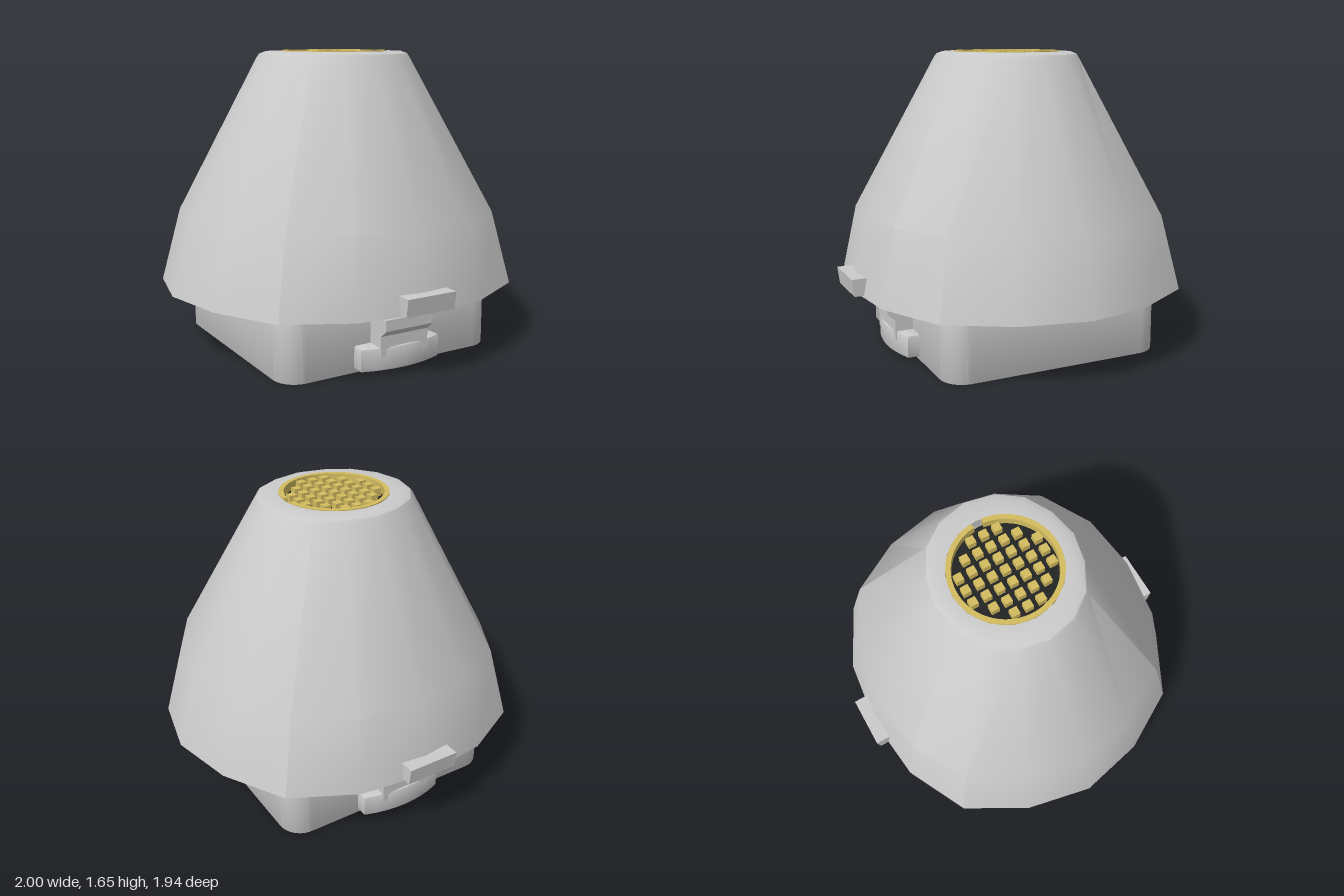
import * as THREE from 'three';
import { toCreasedNormals } from 'three/addons/utils/BufferGeometryUtils.js';

const grey = new THREE.MeshStandardMaterial({ color: 0xcccccc });
const gold = new THREE.MeshStandardMaterial({ color: 0xd4bd60 });
const dark = new THREE.MeshStandardMaterial({ color: 0x222424 });

function add(parent, name, geometry, material = grey) {
  const mesh = new THREE.Mesh(geometry, material);
  mesh.name = name;
  parent.add(mesh);
  return mesh;
}

// Mirror a quarter outline (from +x to +z) into a closed 16-point ring
function ring(y, quarter, s = 1) {
  const pts = [];
  for (let i = 0; i < 16; i++) {
    const k = i % 8 <= 4 ? i % 8 : 8 - (i % 8);
    const sx = i > 4 && i < 12 ? -1 : 1;
    const sz = i > 8 ? -1 : 1;
    pts.push([quarter[k][0] * s * sx, y, quarter[k][1] * s * sz]);
  }
  return pts;
}

function circle(y, r) {
  const q = [0, 1, 2, 3, 4].map(i => [r * Math.cos(i * Math.PI / 8), r * Math.sin(i * Math.PI / 8)]);
  return ring(y, q);
}

function loft(rings, crease) {
  const pos = [];
  for (let j = 0; j < rings.length - 1; j++) {
    for (let i = 0; i < 16; i++) {
      const n = (i + 1) % 16;
      const a = rings[j][i], b = rings[j][n], c = rings[j + 1][i], d = rings[j + 1][n];
      pos.push(...a, ...c, ...b, ...b, ...c, ...d);
    }
  }
  const g = new THREE.BufferGeometry();
  g.setAttribute('position', new THREE.Float32BufferAttribute(pos, 3));
  return toCreasedNormals(g, crease);
}

function roundedRect(hx, hy, r, Type = THREE.Shape) {
  const s = new Type();
  s.absarc(hx - r, hy - r, r, 0, Math.PI / 2);
  s.absarc(-hx + r, hy - r, r, Math.PI / 2, Math.PI);
  s.absarc(-hx + r, -hy + r, r, Math.PI, Math.PI * 1.5);
  s.absarc(hx - r, -hy + r, r, Math.PI * 1.5, Math.PI * 2);
  s.closePath();
  return s;
}

function roundHole(r) {
  const p = new THREE.Path();
  p.absarc(0, 0, r, 0, Math.PI * 2, true);
  return p;
}

// Extrude a plan outline upward from y0 to y1
function slab(shape, y0, y1, bevel = 0) {
  const g = new THREE.ExtrudeGeometry(shape, {
    depth: y1 - y0 - 2 * bevel, curveSegments: 8, bevelEnabled: bevel > 0,
    bevelSize: bevel, bevelThickness: bevel, bevelOffset: -bevel, bevelSegments: 2,
  });
  g.rotateX(-Math.PI / 2).translate(0, y0 + bevel, 0);
  return toCreasedNormals(g, 0.6);
}

// Extrude a side profile (z, y) across the width in x
function across(points, width) {
  const shape = new THREE.Shape(points.map(p => new THREE.Vector2(...p)));
  const g = new THREE.ExtrudeGeometry(shape, { depth: width, bevelEnabled: false });
  return g.rotateY(-Math.PI / 2).translate(width / 2, 0, 0);
}

export function createModel() {
  const model = new THREE.Group();
  model.name = 'sensorHead';

  // Faceted conical shell, hollow underneath, with a round socket on top
  const low = [[1, 0], [0.92, 0.37], [0.73, 0.705], [0.385, 0.88], [0, 0.925]];
  const mid = [[0.885, 0], [0.82, 0.33], [0.65, 0.63], [0.345, 0.8], [0, 0.845]];
  const top = [[0.44, 0], [0.405, 0.165], [0.31, 0.295], [0.165, 0.375], [0, 0.41]];
  add(model, 'shell', loft([
    circle(1.45, 0.001), circle(1.45, 0.27), circle(0.44, 0.37),
    ring(0.44, low, 0.9), ring(0.365, low, 0.94), ring(0.365, low),
    ring(0.77, mid), ring(1.615, top), ring(1.637, top, 0.965), ring(1.65, top, 0.88),
    circle(1.65, 0.3), circle(1.58, 0.3), circle(1.58, 0.001),
  ], 0.45));

  // Square base: outer wall, notched floor and the plate above it
  const wall = roundedRect(0.665, 0.635, 0.13);
  wall.holes.push(roundedRect(0.605, 0.575, 0.08, THREE.Path));
  add(model, 'baseWall', slab(wall, 0, 0.45, 0.008));

  const fx = 0.61, fz = 0.58, n = 0.2;
  const floor = new THREE.Shape([
    [fx, -fz + n], [fx, fz - n], [fx - 0.04, fz - n], [fx - n, fz - 0.04], [fx - n, fz],
    [-fx + n, fz], [-fx + n, fz - 0.04], [-fx + 0.04, fz - n], [-fx, fz - n],
    [-fx, -fz + n], [-fx + 0.04, -fz + n], [-fx + n, -fz + 0.04], [-fx + n, -fz],
    [fx - n, -fz], [fx - n, -fz + 0.04], [fx - 0.04, -fz + n],
  ].map(p => new THREE.Vector2(...p)));
  floor.holes.push(roundHole(0.37));
  add(model, 'baseFloor', slab(floor, 0.18, 0.23));

  const plate = roundedRect(0.62, 0.59, 0.08);
  plate.holes.push(roundHole(0.37));
  add(model, 'basePlate', slab(plate, 0.22, 0.445));

  // Clip and marker tab, front and back
  const stem = [[0.6, 0.4], [0.6, 0.1], [0.735, 0.1], [0.735, 0.21],
    [0.78, 0.25], [0.78, 0.31], [0.73, 0.31], [0.73, 0.4]];
  const tab = [[0.86, 0.375], [0.957, 0.375], [0.97, 0.47], [0.84, 0.47]];
  const foot = new THREE.Shape();
  foot.moveTo(-0.247, -0.62);
  foot.lineTo(-0.247, -0.7);
  foot.quadraticCurveTo(0, -0.79, 0.247, -0.7);
  foot.lineTo(0.247, -0.62);
  for (const [side, turn] of [['front', 0], ['back', Math.PI]]) {
    const clip = new THREE.Group();
    clip.name = side + 'Clip';
    clip.rotation.y = turn;
    clip.position.x = -0.007;
    add(clip, side + 'ClipStem', across(stem, 0.295));
    add(clip, side + 'ClipFoot', slab(foot, 0.022, 0.15, 0.012));
    add(clip, side + 'Tab', across(tab, 0.295));
    model.add(clip);
  }

  // Connector: split gold ring, dark insulator and a round grid of pins
  const gap = 0.1;
  const collar = new THREE.Shape();
  collar.absarc(0, 0, 0.297, gap, Math.PI * 2 - gap, false);
  collar.absarc(0, 0, 0.27, Math.PI * 2 - gap, gap, true);
  const collarGeo = new THREE.ExtrudeGeometry(collar, { depth: 0.08, bevelEnabled: false, curveSegments: 48 });
  collarGeo.rotateX(-Math.PI / 2).translate(0, 1.575, 0);
  add(model, 'connectorRing', toCreasedNormals(collarGeo, 0.5), gold);

  const disc = new THREE.CylinderGeometry(0.285, 0.285, 0.03, 48);
  add(model, 'connectorInsulator', disc, dark).position.y = 1.59;

  const pins = new THREE.Group();
  pins.name = 'pins';
  const pinGeo = new THREE.BoxGeometry(0.043, 0.05, 0.043);
  for (let i = -3; i <= 3; i++) {
    for (let j = -3; j <= 3; j++) {
      if (i * i + j * j > 10) continue;
      add(pins, 'pin', pinGeo, gold).position.set(i * 0.073, 1.625, j * 0.075);
    }
  }
  model.add(pins);
  return model;
}
